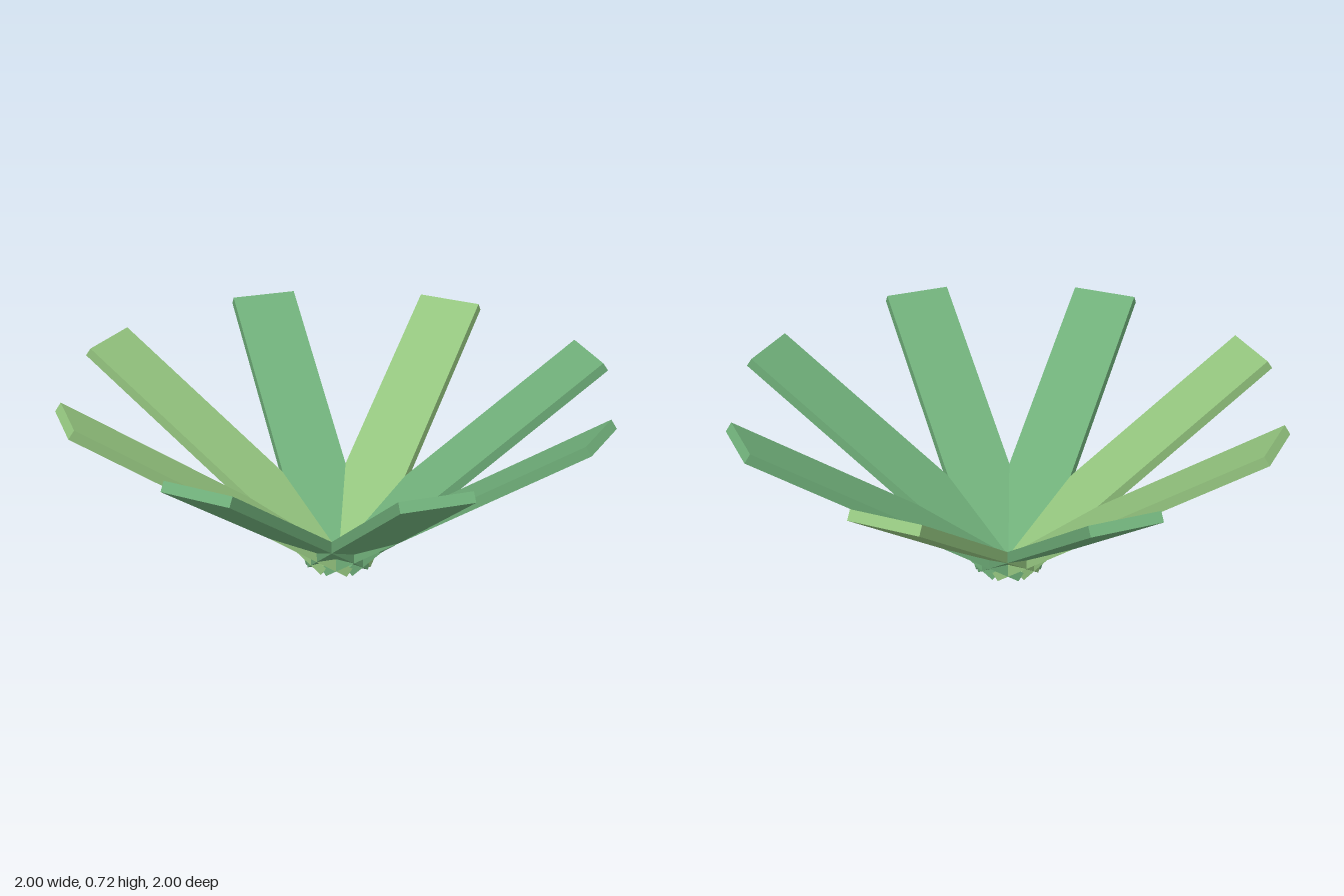
import * as THREE from 'three';

export function createModel() {
  const model = new THREE.Group();
  model.name = 'plant';

  const tilt = THREE.MathUtils.degToRad(35);
  const length = 1.207, width = 0.252, thickness = 0.0375;

  const makeMaterial = (color) => {
    const m = new THREE.MeshStandardMaterial({ flatShading: true });
    m.color.set(color);
    return m;
  };
  const coolGreen = makeMaterial(0x6fae79);
  const warmGreen = makeMaterial(0x93c47e);

  // One slab leaf growing from the centre, tilted upwards along +x
  const leaf = new THREE.BoxGeometry(length, thickness, width);
  leaf.translate(length / 2, 0, 0);
  leaf.rotateZ(tilt);
  leaf.translate(0, (thickness / 2) * Math.cos(tilt), 0);

  // Eight leaves, counted anticlockwise from +x as seen from above
  const warmLeaves = [1, 3, 4];
  for (let i = 0; i < 8; i++) {
    const mesh = new THREE.Mesh(leaf, warmLeaves.includes(i) ? warmGreen : coolGreen);
    mesh.name = `leaf${i + 1}`;
    mesh.rotation.y = (i * Math.PI) / 4;
    model.add(mesh);
  }
  return model;
}
